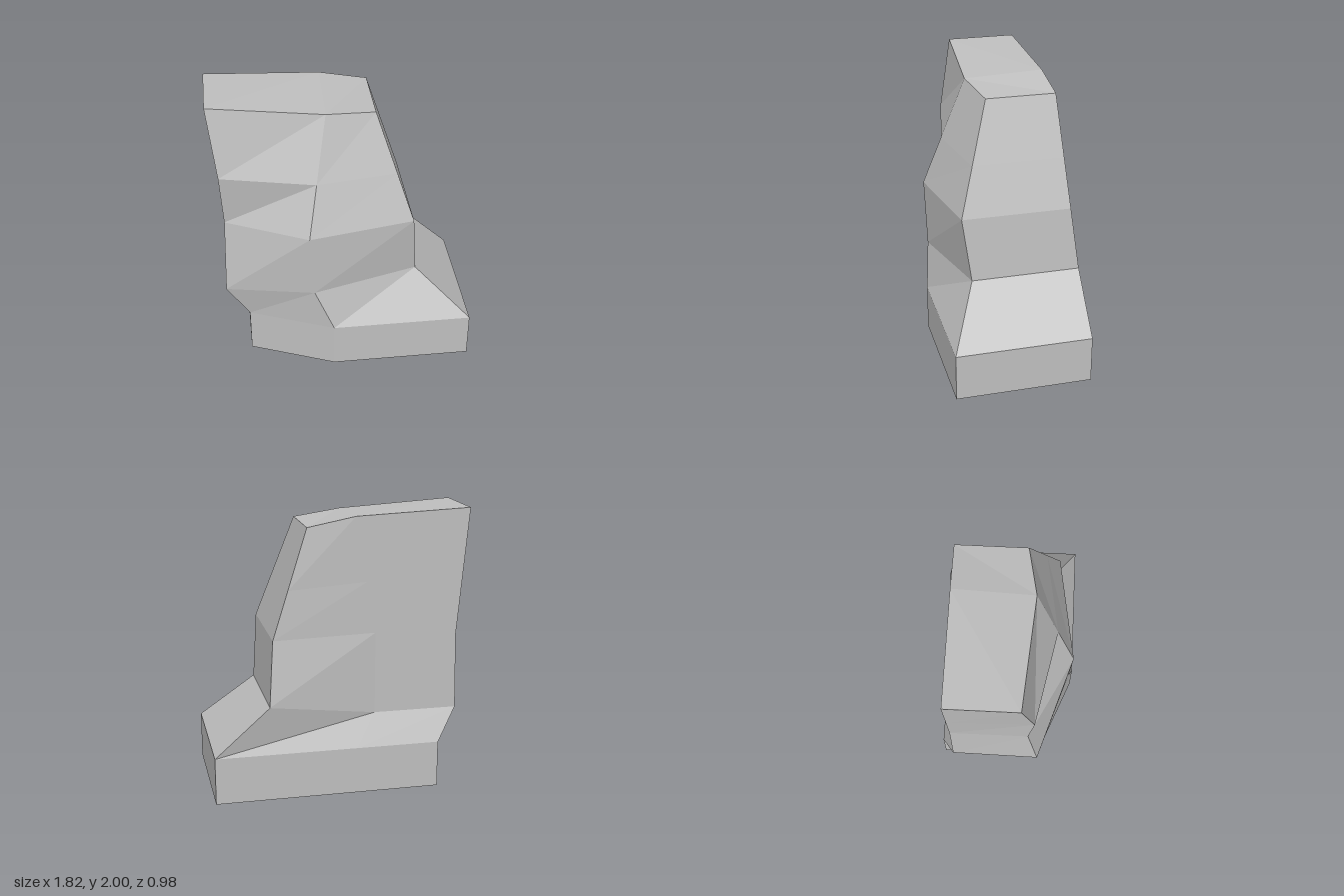
import * as THREE from 'three';

// Each ring runs front-left, front-middle, front-right, back-right, back-middle, back-left (by x).
const foot = (y) => [
  [-0.69, y, 0.245], [-0.09, y, 0.49], [0.91, y, 0.49],
  [0.91, y, -0.475], [-0.1, y, -0.475], [-0.69, y, -0.475],
];
const waist = [
  [-0.85, 0.57, 0.24], [-0.225, 0.645, 0.45], [0.525, 0.685, 0.285],
  [0.525, 0.685, -0.49], [-0.243, 0.56, -0.38], [-0.84, 0.56, -0.38],
];
const chest = [
  [-0.83, 1.11, 0.165], [-0.255, 1.125, 0.465], [0.49, 1.14, 0.345],
  [0.49, 1.14, -0.43], [-0.243, 1.145, -0.38], [-0.83, 1.105, -0.38],
];
const top = [
  [-0.91, 2, 0.115], [-0.11, 1.94, 0.18], [0.24, 1.9, 0.115],
  [0.24, 1.9, -0.38], [-0.1, 1.965, -0.38], [-0.91, 2, -0.38],
];
// Ring partway between chest and top, with a slight bulge at the front-left corner
const shoulder = chest.map((p, j) => p.map((v, k) => v + (top[j][k] - v) * 0.445));
shoulder[0] = [-0.85, 1.5, 0.205];

// Flat-faced skin through a stack of rings
function skin(name, rings, material, capped) {
  const pos = [];
  const quad = (a, b, c, d) => pos.push(...a, ...b, ...c, ...a, ...c, ...d);
  for (let i = 0; i < rings.length - 1; i++) {
    const lo = rings[i], hi = rings[i + 1];
    for (let j = 0; j < lo.length; j++) {
      const n = (j + 1) % lo.length;
      quad(lo[j], lo[n], hi[n], hi[j]);
    }
  }
  if (capped) {
    const t = rings[rings.length - 1];
    quad(t[0], t[1], t[4], t[5]);
    quad(t[1], t[2], t[3], t[4]);
  }
  const geometry = new THREE.BufferGeometry();
  geometry.setAttribute('position', new THREE.Float32BufferAttribute(pos, 3));
  geometry.computeVertexNormals();
  const mesh = new THREE.Mesh(geometry, material);
  mesh.name = name;
  return mesh;
}

export function createModel() {
  const stone = new THREE.MeshStandardMaterial({ color: 0xc0c0c0, side: THREE.DoubleSide, flatShading: true });
  stone.name = 'stone grey';

  const group = new THREE.Group();
  group.name = 'rock';
  // Straight-sided foot, open underneath
  group.add(skin('rockFoot', [foot(0), foot(0.335)], stone, false));
  // Leaning rock column with a flat top
  group.add(skin('rockColumn', [foot(0.335), waist, chest, shoulder, top], stone, true));
  return group;
}
